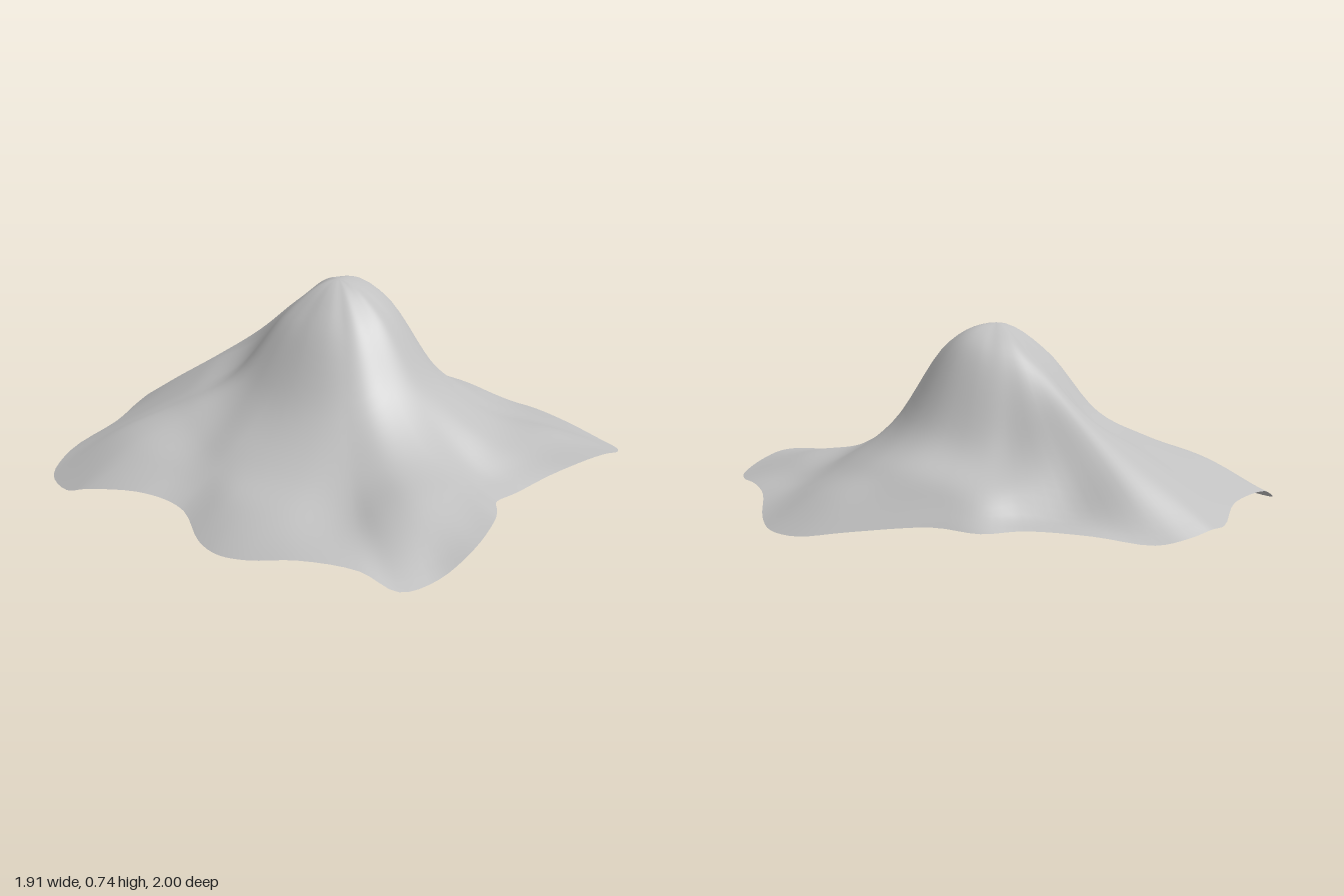
import * as THREE from 'three';

// Wavy outer edge, x, y, z, running from +x round through +z
const RIM = [
  [.955, .05, .09], [.92, .065, .22], [.82, .1, .41], [.76, .1, .6], [.71, .08, .8], [.665, .085, .88],
  [.55, .115, .945], [.45, .14, .955], [.35, .14, .935], [.2, .105, .87], [.05, .07, .825], [-.08, .08, .83],
  [-.2, .11, .91], [-.3, .122, .97], [-.45, .085, 1], [-.6, .02, .97], [-.72, .003, .91], [-.76, .045, .78],
  [-.85, .055, .6], [-.93, .035, .45], [-.95, .022, .33], [-.92, .02, .2], [-.83, .045, .02], [-.83, .06, -.08],
  [-.87, .07, -.2], [-.94, .045, -.4], [-.96, .018, -.5], [-.915, .03, -.65], [-.8, .08, -.7], [-.5, .1, -.8],
  [-.24, .09, -.97], [-.14, .1, -1], [-.05, .08, -.98], [.05, .06, -.92], [.2, .085, -.77], [.37, .1, -.62],
  [.51, .1, -.555], [.6, .105, -.4], [.8, .075, -.18], [.92, .05, -.04],
];

// Heights every 15 degrees at radius .2, .4, .6 and midway from .6 to the edge
const HEIGHTS = [
  [.68, .37, .24, .16], [.67, .37, .23, .15], [.66, .37, .22, .14], [.65, .36, .21, .14],
  [.64, .36, .22, .17], [.63, .36, .21, .15], [.63, .36, .18, .11], [.62, .36, .21, .15],
  [.62, .36, .22, .16], [.61, .34, .18, .09], [.61, .33, .17, .1], [.61, .33, .17, .1],
  [.61, .34, .18, .11], [.62, .36, .2, .13], [.63, .39, .28, .18], [.62, .38, .28, .19],
  [.61, .38, .28, .19], [.62, .43, .33, .22], [.64, .49, .35, .22], [.66, .43, .24, .14],
  [.66, .36, .2, .13], [.66, .34, .21, .15], [.67, .34, .22, .16], [.68, .36, .235, .16],
];
const PEAK = .745;

// Hermite interpolation between two values with given slopes
function hermite(a, b, ma, mb, t) {
  const t2 = t * t, t3 = t2 * t;
  return (2 * t3 - 3 * t2 + 1) * a + (t3 - 2 * t2 + t) * ma + (3 * t2 - 2 * t3) * b + (t3 - t2) * mb;
}

// Heights along one direction, blended smoothly between table rows
function heightsAt(angle) {
  const n = HEIGHTS.length;
  const u = ((angle / (Math.PI * 2) + 1) % 1) * n;
  const i = Math.floor(u);
  const row = k => HEIGHTS[(i + k + n) % n];
  return [0, 1, 2, 3].map(c => hermite(row(0)[c], row(1)[c],
    (row(1)[c] - row(-1)[c]) / 2, (row(2)[c] - row(0)[c]) / 2, u - i));
}

// Smooth curve through uneven knots, level at the summit
function profile(r, knots, values) {
  const last = knots.length - 1;
  const secant = k => (values[k + 1] - values[k]) / (knots[k + 1] - knots[k]);
  const slope = k => k === 0 ? 0 : k === last ? secant(k - 1) : (secant(k - 1) + secant(k)) / 2;
  let k = 0;
  while (k < last - 1 && r > knots[k + 1]) k++;
  const w = knots[k + 1] - knots[k];
  return hermite(values[k], values[k + 1], slope(k) * w, slope(k + 1) * w, (r - knots[k]) / w);
}

export function createModel() {
  const group = new THREE.Group();
  group.name = 'mound';
  const grey = new THREE.MeshStandardMaterial({ color: 0xc0c0c0, side: THREE.DoubleSide });
  grey.name = 'pale grey';

  // Rings of points from the summit out to the wavy edge
  const edge = new THREE.CatmullRomCurve3(RIM.map(p => new THREE.Vector3(...p)), true, 'centripetal');
  const around = 160, rings = 30;
  const positions = [0, PEAK, 0], index = [];
  for (let i = 0; i < around; i++) {
    const p = edge.getPoint(i / around);
    const R = Math.hypot(p.x, p.z);
    const knots = [0, .2, .4, .6, (.6 + R) / 2, R];
    const values = [PEAK, ...heightsAt(Math.atan2(p.z, p.x)), p.y];
    for (let j = 1; j <= rings; j++) {
      const f = j / rings;
      positions.push(p.x * f, Math.max(0, profile(R * f, knots, values)), p.z * f);
    }
  }
  const id = (i, j) => j === 0 ? 0 : 1 + (i % around) * rings + j - 1;
  for (let i = 0; i < around; i++) {
    index.push(0, id(i + 1, 1), id(i, 1));
    for (let j = 1; j < rings; j++) {
      index.push(id(i, j), id(i + 1, j), id(i, j + 1), id(i + 1, j), id(i + 1, j + 1), id(i, j + 1));
    }
  }

  const geometry = new THREE.BufferGeometry();
  geometry.setAttribute('position', new THREE.Float32BufferAttribute(positions, 3));
  geometry.setIndex(index);
  geometry.computeVertexNormals();
  const sheet = new THREE.Mesh(geometry, grey);
  sheet.name = 'drapedSheet';
  group.add(sheet);
  return group;
}
